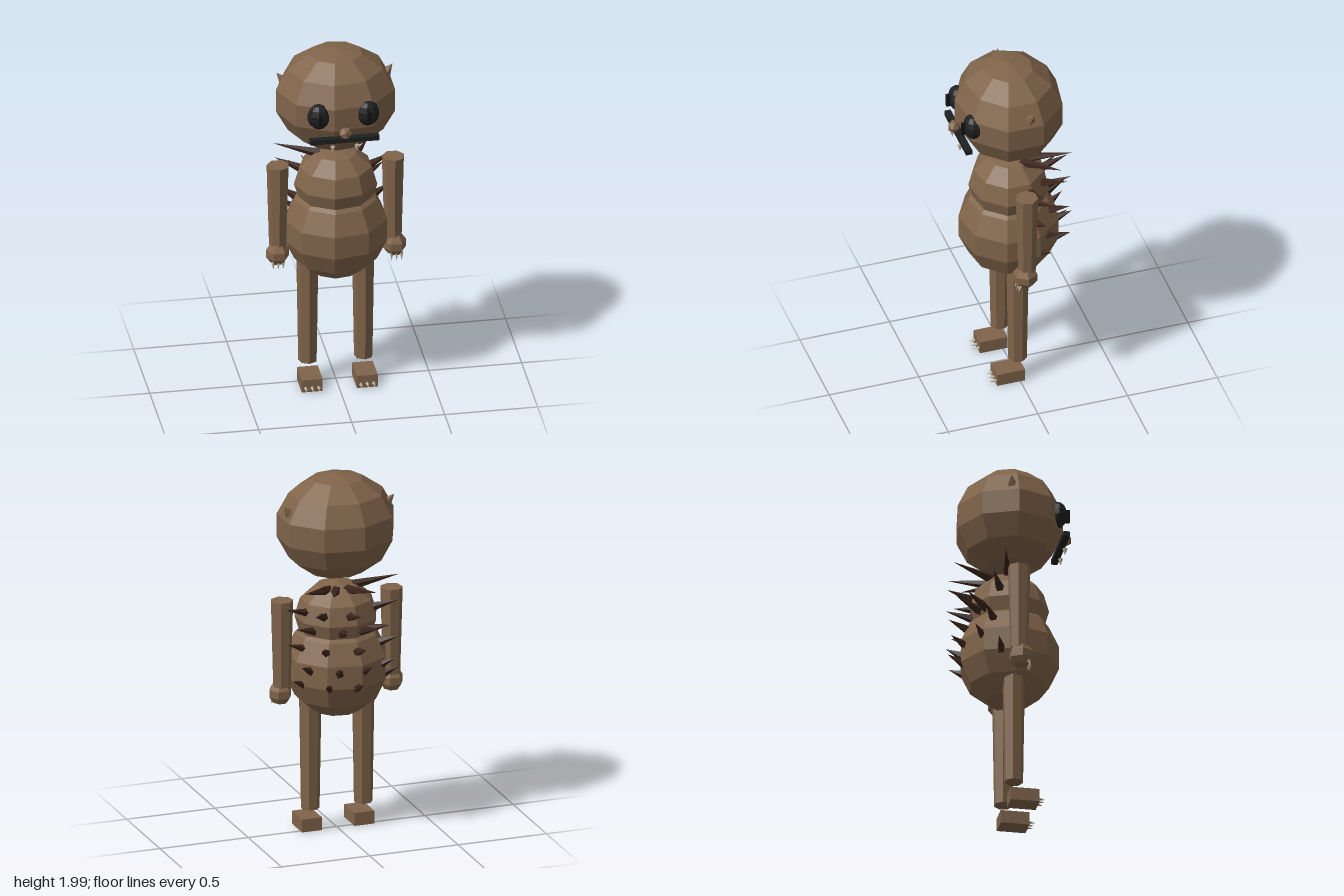
import * as THREE from 'three';

const flat = (name, color) => {
  const m = new THREE.MeshStandardMaterial({ color, flatShading: true });
  m.name = name;
  return m;
};

export function createModel() {
  const fur = flat('brown fur', 0x80644a);
  const spineMat = flat('dark spine', 0x3c251c);
  const black = flat('eye black', 0x1e1f20);
  const pupilMat = flat('pupil black', 0x121212);
  const ivory = flat('ivory', 0xb9b09a);

  const model = new THREE.Group();
  model.name = 'spinyCreature';
  const add = (name, geometry, material, x, y, z) => {
    const mesh = new THREE.Mesh(geometry, material);
    mesh.name = name;
    mesh.position.set(x, y, z);
    model.add(mesh);
    return mesh;
  };
  const ball = (name, mat, pos, radii, w, h) => {
    const m = add(name, new THREE.SphereGeometry(1, w, h), mat, ...pos);
    m.scale.set(...radii);
    return m;
  };
  // Cone running from a base point to a tip point
  const UP = new THREE.Vector3(0, 1, 0);
  const spike = (name, mat, base, tip, radius, sides) => {
    const a = new THREE.Vector3(...base), b = new THREE.Vector3(...tip);
    const dir = b.clone().sub(a);
    const mid = a.clone().add(b).multiplyScalar(0.5);
    const m = add(name, new THREE.ConeGeometry(radius, dir.length(), sides), mat, mid.x, mid.y, mid.z);
    m.quaternion.setFromUnitVectors(UP, dir.normalize());
    return m;
  };

  // Head and two-part body
  const BELLY = { y: 0.93, rx: 0.285, ry: 0.285, rz: 0.275 };
  const CHEST = { y: 1.2, rx: 0.225, ry: 0.2, rz: 0.215 };
  ball('head', fur, [0, 1.71, 0], [0.33, 0.29, 0.295], 9, 7);
  ball('belly', fur, [0, BELLY.y, 0], [BELLY.rx, BELLY.ry, BELLY.rz], 9, 7);
  ball('chest', fur, [0, CHEST.y, 0], [CHEST.rx, CHEST.ry, CHEST.rz], 9, 6);

  // Face
  add('nose', new THREE.IcosahedronGeometry(0.036, 0), fur, 0, 1.645, 0.305);
  add('mouth', new THREE.BoxGeometry(0.37, 0.027, 0.035), black, 0, 1.597, 0.28);

  for (const s of [-1, 1]) {
    const side = s > 0 ? 'left' : 'right';
    ball(side + 'Eye', black, [s * 0.13, 1.725, 0.24], [0.065, 0.073, 0.053], 9, 7);
    add(side + 'Pupil', new THREE.BoxGeometry(0.02, 0.07, 0.02), pupilMat, s * 0.13, 1.722, 0.295);
    spike(side + 'Tooth', ivory, [s * 0.065, 1.565, 0.292], [s * 0.065, 1.525, 0.292], 0.014, 4);
    spike(side + 'Ear', fur, [s * 0.268, 1.805, -0.03], [s * 0.312, 1.855, -0.04], 0.036, 5);

    // Limbs
    add(side + 'Arm', new THREE.CylinderGeometry(0.061, 0.048, 0.48, 7), fur, s * 0.31, 1.08, 0);
    ball(side + 'Hand', fur, [s * 0.315, 0.8, 0.01], [0.065, 0.067, 0.07], 6, 5);
    add(side + 'Leg', new THREE.CylinderGeometry(0.061, 0.051, 0.615, 7), fur, s * 0.15, 0.443, 0);
    add(side + 'Foot', new THREE.BoxGeometry(0.112, 0.072, 0.155), fur, s * 0.148, 0.046, 0.052);

    // Finger and toe claws
    for (const i of [-1, 0, 1]) {
      const hx = s * 0.318 + i * 0.027;
      spike(side + 'FingerClaw', ivory, [hx, 0.765, 0.045], [hx, 0.722, 0.06], 0.011, 4);
      const tx = s * 0.148 + i * 0.035;
      spike(side + 'ToeClaw', ivory, [tx, 0.033, 0.125], [tx, 0.03, 0.165], 0.012, 4);
    }
  }

  // Back spines: six rows, four staggered columns (angles in degrees from straight back)
  const columns = [
    [-77, -66, -39, -59, -48, -71],
    [-19, -2, -24, -8, -14, -5],
    [23, 40, 11, 34, 17, 29],
    [51, 74, 60, 71, 54, 65],
  ];
  const tipHeights = [1.415, 1.295, 1.205, 1.105, 1.0, 0.91];
  const radiusAt = (y) => Math.max(...[BELLY, CHEST].map((e) =>
    e.rz * Math.sqrt(Math.max(0, 1 - ((y - e.y) / e.ry) ** 2))));
  tipHeights.forEach((tipY, row) => {
    for (const column of columns) {
      const a = THREE.MathUtils.degToRad(column[row]);
      const baseY = tipY - 0.05;
      const baseR = radiusAt(baseY) - 0.035;
      const tipR = 0.335;
      spike('backSpine', spineMat,
        [Math.sin(a) * baseR, baseY, -Math.cos(a) * baseR],
        [Math.sin(a) * tipR, tipY, -Math.cos(a) * tipR], 0.028, 5);
    }
  });

  return model;
}
